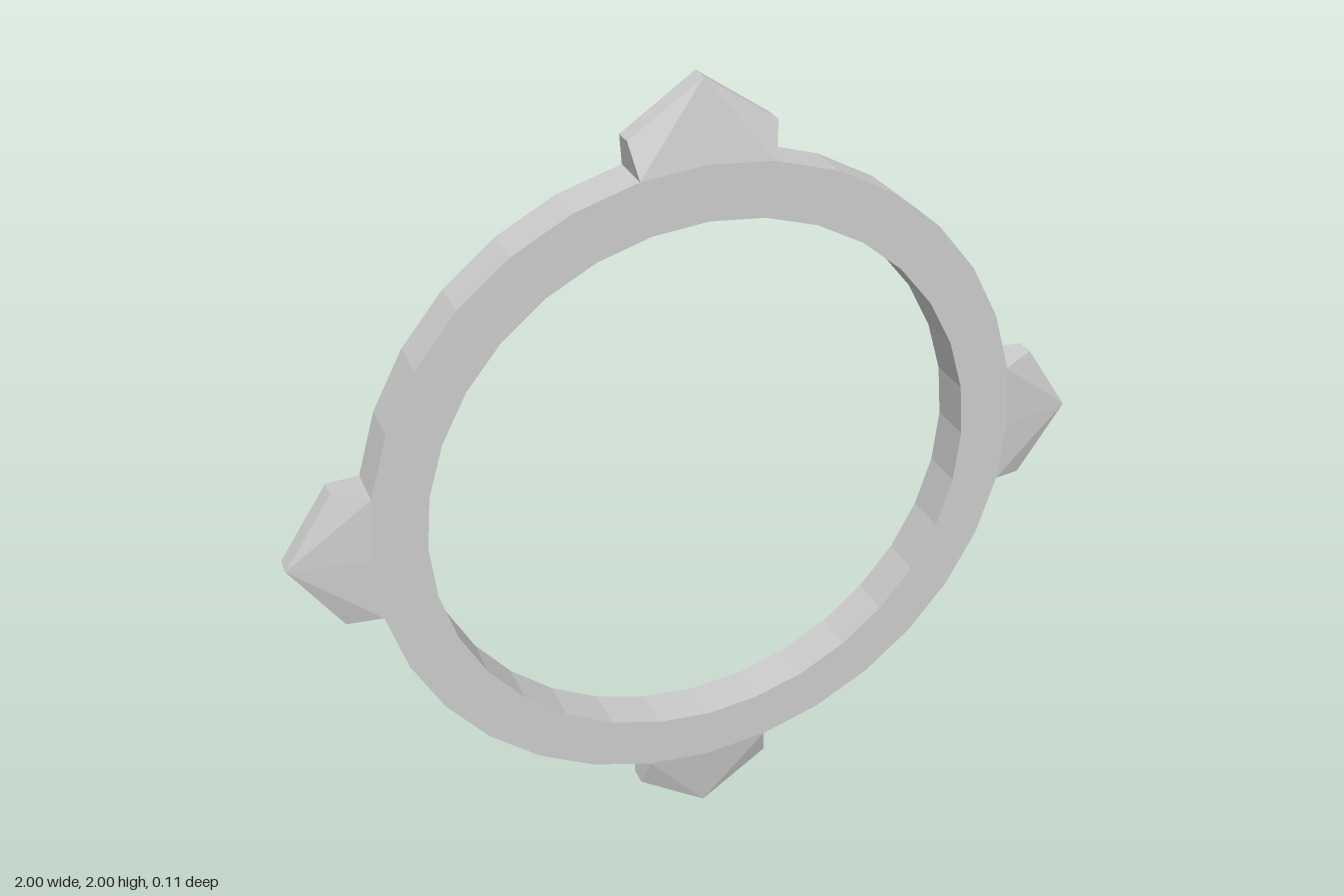
import * as THREE from 'three';

const SIDES = 32, OUTER = 0.8155, INNER = 0.684, HALF = 0.056, RIM = 0.024;
const material = new THREE.MeshStandardMaterial({ color: 0xcccccc, flatShading: true });

// Regular polygon with a corner on each axis
function circlePoints(radius) {
  return Array.from({ length: SIDES }, (_, i) => {
    const a = (i / SIDES) * Math.PI * 2;
    return new THREE.Vector2(Math.cos(a) * radius, Math.sin(a) * radius);
  });
}

function ringGeometry() {
  const shape = new THREE.Shape(circlePoints(OUTER));
  shape.holes.push(new THREE.Path(circlePoints(INNER)));
  const geometry = new THREE.ExtrudeGeometry(shape, { depth: HALF * 2, bevelEnabled: false });
  return geometry.translate(0, 0, -HALF);
}

// Point whose front and back facets fall from the ring's thickness to a thin rim
function pointGeometry() {
  const step = (Math.PI * 2) / SIDES;
  const bx = OUTER * Math.sin(step), by = OUTER * Math.cos(step);
  // Outline, counterclockwise from the tip: x, y, half thickness
  const outline = [
    [0, 1, RIM], [-0.175, 0.882, RIM], [-bx, by, HALF],
    [0, OUTER, HALF], [bx, by, HALF], [0.175, 0.882, RIM],
  ];
  const n = outline.length;
  const positions = [
    ...outline.flatMap(([x, y, z]) => [x, y, z]),
    ...outline.flatMap(([x, y, z]) => [x, y, -z]),
  ];
  const index = [];
  // Front and back fans from the tip
  for (let i = 1; i < n - 1; i++) {
    index.push(0, i, i + 1, n, n + i + 1, n + i);
  }
  // Rim, left open where the point sits on the ring
  for (const i of [0, 1, 4, 5]) {
    const j = (i + 1) % n;
    index.push(i, n + i, n + j, i, n + j, j);
  }
  const indexed = new THREE.BufferGeometry();
  indexed.setAttribute('position', new THREE.Float32BufferAttribute(positions, 3));
  indexed.setIndex(index);
  const geometry = indexed.toNonIndexed();
  geometry.computeVertexNormals();
  return geometry;
}

export function createModel() {
  const model = new THREE.Group();
  model.name = 'pointedRing';

  const ring = new THREE.Mesh(ringGeometry(), material);
  ring.name = 'ring';
  ring.position.y = 1;
  model.add(ring);

  // Four points, a quarter turn apart
  const geometry = pointGeometry();
  ['topPoint', 'leftPoint', 'bottomPoint', 'rightPoint'].forEach((name, i) => {
    const point = new THREE.Mesh(geometry, material);
    point.name = name;
    point.position.y = 1;
    point.rotation.z = (-i * Math.PI) / 2;
    model.add(point);
  });
  return model;
}
